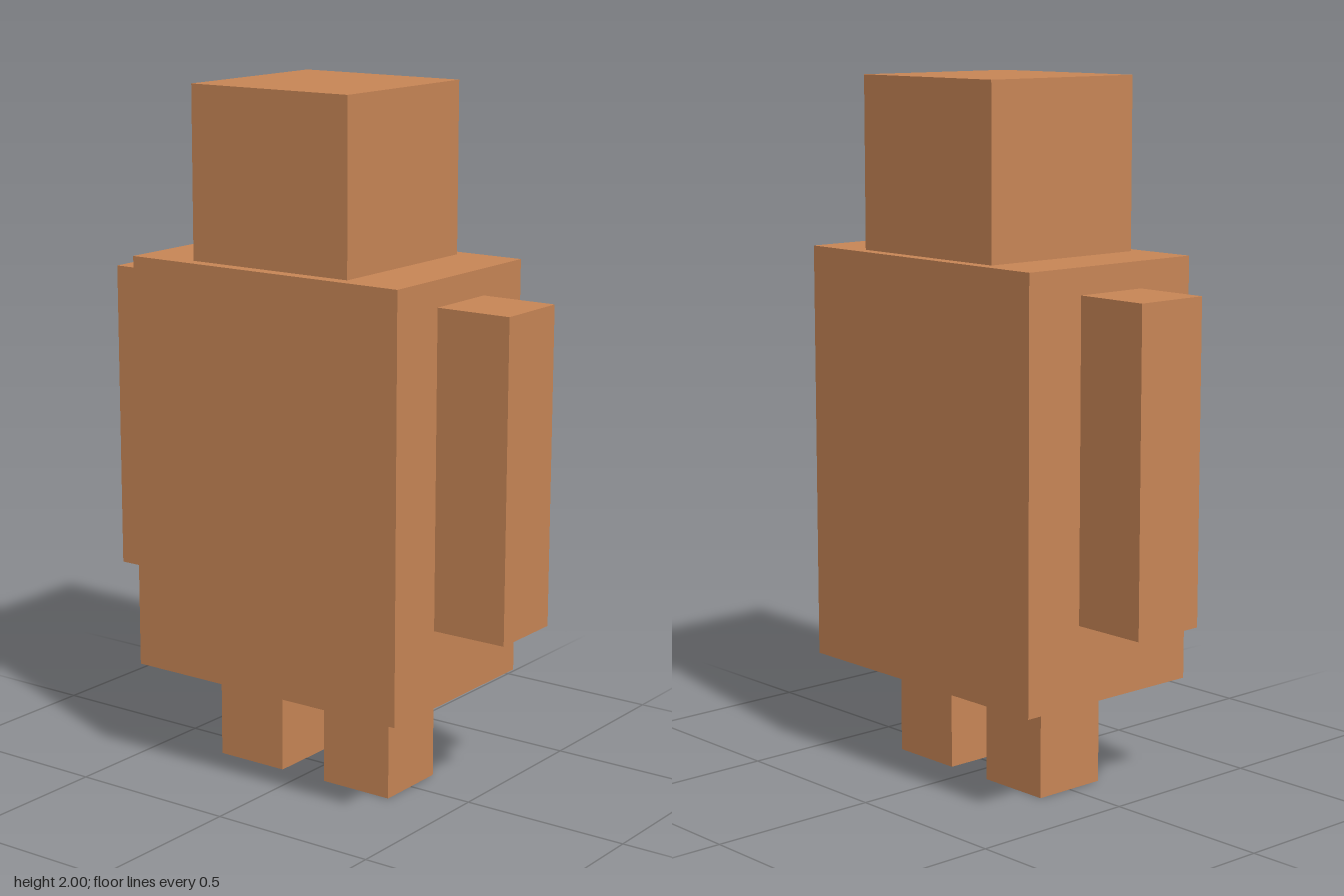
import * as THREE from 'three';

const U = 2 / 53; // one modelling unit; the figure is 53 units tall

export function createModel() {
  const model = new THREE.Group();
  model.name = 'blockFigure';

  const clay = new THREE.MeshStandardMaterial({ color: 0xc88656 });
  clay.name = 'clay';

  // Box of w x h x d units, centred on x, standing at height y
  const block = (name, w, h, d, x, y) => {
    const mesh = new THREE.Mesh(new THREE.BoxGeometry(w * U, h * U, d * U), clay);
    mesh.name = name;
    mesh.position.set(x * U, (y + h / 2) * U, 0);
    model.add(mesh);
  };

  block('torso', 24, 32, 16, 0, 8);
  block('head', 14, 13, 14, 0, 40);

  // Mirrored limbs
  for (const [side, s] of [['left', 1], ['right', -1]]) {
    block(side + 'Arm', 6, 24, 6, s * 15, 14);
    block(side + 'Leg', 6, 8, 6, s * 5, 0);
  }

  return model;
}
